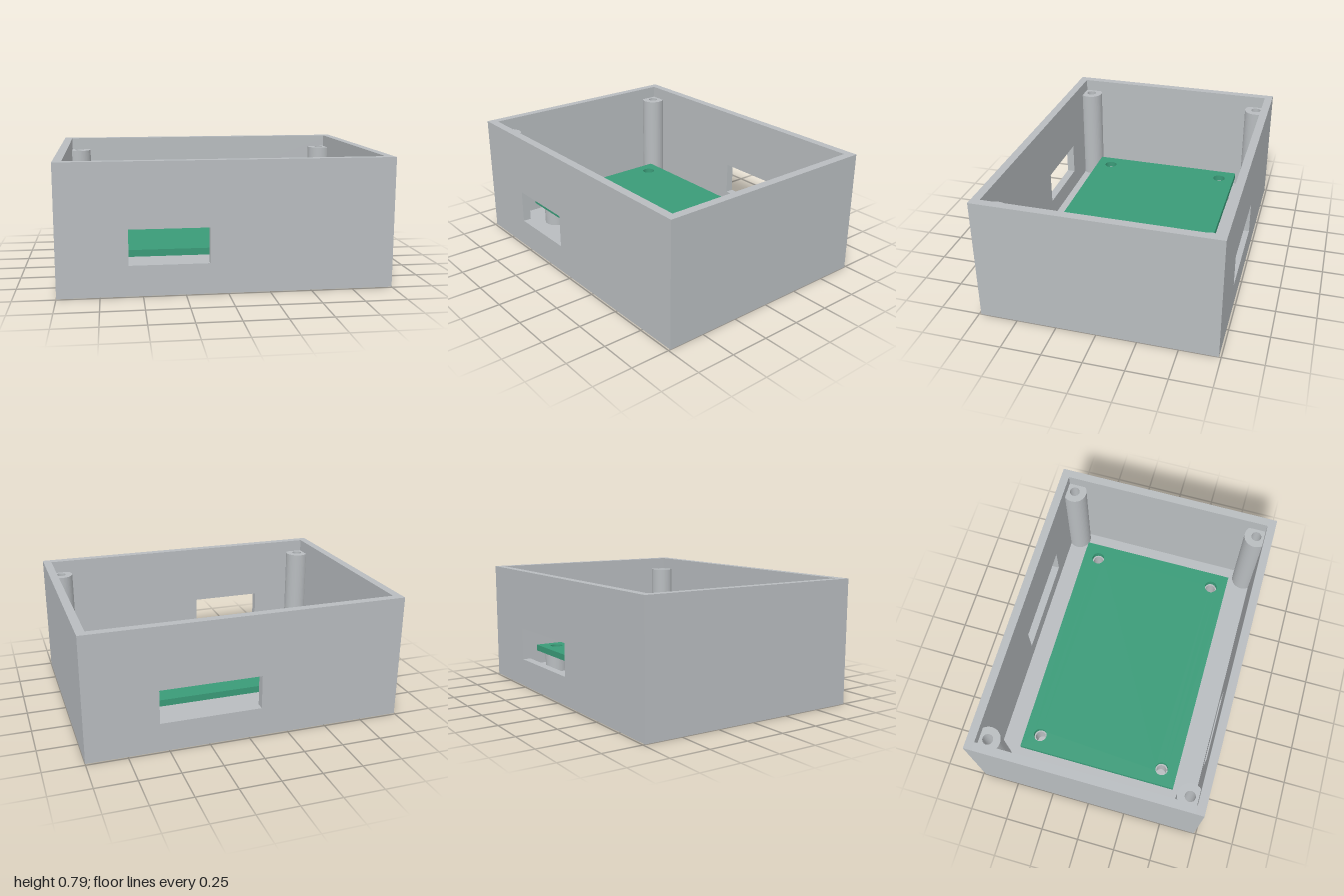
import * as THREE from 'three';

const W = 2, D = 1.474, H = 0.79, T = 0.053; // outer size and wall thickness
const FLOOR = T, BOARD_Y = 0.184, BOARD_T = 0.042;

function rect(target, x0, y0, x1, y1) {
  target.moveTo(x0, y0);
  target.lineTo(x1, y0);
  target.lineTo(x1, y1);
  target.lineTo(x0, y1);
  target.closePath();
  return target;
}

function circle(target, x, y, r) {
  target.absarc(x, y, r, 0, Math.PI * 2, false);
  return target;
}

function extrude(shape, depth) {
  return new THREE.ExtrudeGeometry(shape, { depth, bevelEnabled: false, curveSegments: 24 });
}

// Upright tube standing between two heights
function tube(outer, inner, y0, y1) {
  const shape = circle(new THREE.Shape(), 0, 0, outer);
  shape.holes.push(circle(new THREE.Path(), 0, 0, inner));
  return extrude(shape, y1 - y0).rotateX(-Math.PI / 2).translate(0, y0, 0);
}

// Full-width wall with one rectangular cutout
function cutWall(x0, x1, z) {
  const shape = rect(new THREE.Shape(), -W / 2, 0, W / 2, H);
  shape.holes.push(rect(new THREE.Path(), x0, 0.184, x1, 0.397));
  return extrude(shape, T).translate(0, 0, z);
}

export function createModel() {
  const model = new THREE.Group();
  model.name = 'electronicsEnclosure';

  const shellGrey = new THREE.MeshStandardMaterial({ color: 0xb8bcbf });
  shellGrey.name = 'shellGrey';
  const boardGreen = new THREE.MeshStandardMaterial({ color: 0x3a9b78 });
  boardGreen.name = 'boardGreen';

  const add = (name, geometry, material, x = 0, y = 0, z = 0) => {
    const mesh = new THREE.Mesh(geometry, material);
    mesh.name = name;
    mesh.position.set(x, y, z);
    model.add(mesh);
  };

  // Open-topped case
  add('floor', new THREE.BoxGeometry(W - 2 * T, FLOOR, D - 2 * T), shellGrey, 0, FLOOR / 2, 0);
  add('frontWall', cutWall(-0.582, -0.107, D / 2 - T), shellGrey);
  add('backWall', cutWall(-0.08, 0.553, -D / 2), shellGrey);
  const side = new THREE.BoxGeometry(T, H, D - 2 * T);
  add('leftWall', side, shellGrey, W / 2 - T / 2, H / 2, 0);
  add('rightWall', side, shellGrey, -W / 2 + T / 2, H / 2, 0);

  // Corner screw posts and board standoffs
  const post = tube(0.079, 0.033, FLOOR, 0.71);
  const standoff = tube(0.079, 0.033, FLOOR, BOARD_Y);
  const boardShape = rect(new THREE.Shape(), -0.79, -0.526, 0.79, 0.526);
  for (const sx of [-1, 1]) {
    for (const sz of [-1, 1]) {
      add('screwPost', post, shellGrey, sx * 0.895, 0, sz * 0.632);
      add('standoff', standoff, shellGrey, sx * 0.684, 0, sz * 0.421);
      boardShape.holes.push(circle(new THREE.Path(), sx * 0.684, sz * 0.421, 0.042));
    }
  }

  // Circuit board with mounting holes
  add('circuitBoard', extrude(boardShape, BOARD_T).rotateX(-Math.PI / 2), boardGreen, 0, BOARD_Y, 0);

  return model;
}
